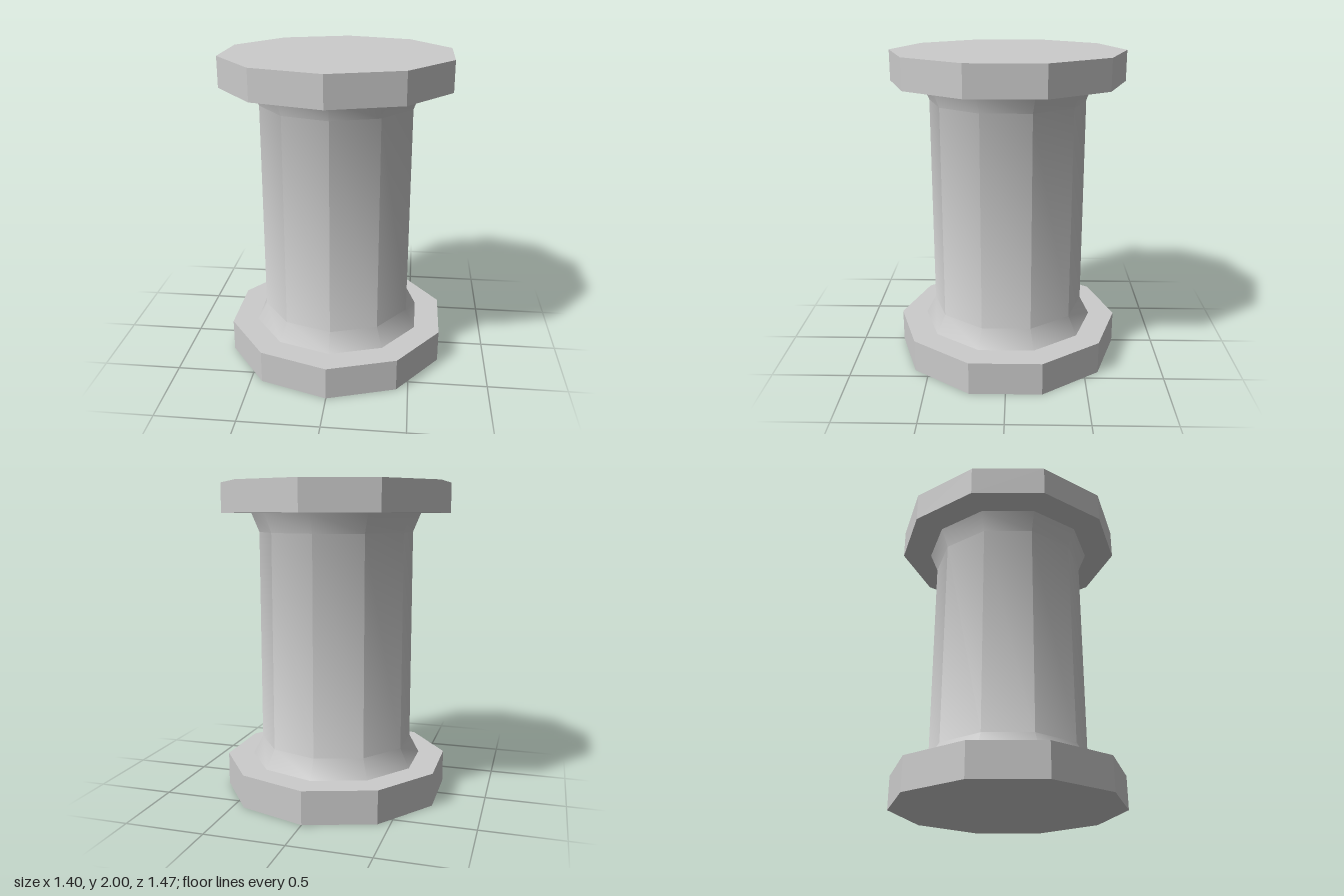
import * as THREE from 'three';
import { toCreasedNormals } from 'three/addons/utils/BufferGeometryUtils.js';

const SIDES = 10;

export function createModel() {
  const group = new THREE.Group();
  group.name = 'column';
  const stone = new THREE.MeshStandardMaterial({ color: 0xcccccc });
  const flatStone = new THREE.MeshStandardMaterial({ color: 0xcccccc, flatShading: true });

  // Ten-sided slab standing between two heights
  function slab(name, radius, y0, y1) {
    const mesh = new THREE.Mesh(new THREE.CylinderGeometry(radius, radius, y1 - y0, SIDES), flatStone);
    mesh.name = name;
    mesh.position.y = (y0 + y1) / 2;
    group.add(mesh);
  }
  slab('base', 0.727, 0, 0.21);
  slab('capital', 0.737, 1.81, 2);

  // Faceted shaft, its flared ends blending smoothly into the facets
  const profile = [[0.558, 0.21], [0.495, 0.33], [0.495, 1.69], [0.545, 1.81]]
    .map(([r, y]) => new THREE.Vector2(r, y));
  const shaft = new THREE.Mesh(
    toCreasedNormals(new THREE.LatheGeometry(profile, SIDES), THREE.MathUtils.degToRad(35)), stone);
  shaft.name = 'shaft';
  group.add(shaft);

  return group;
}
